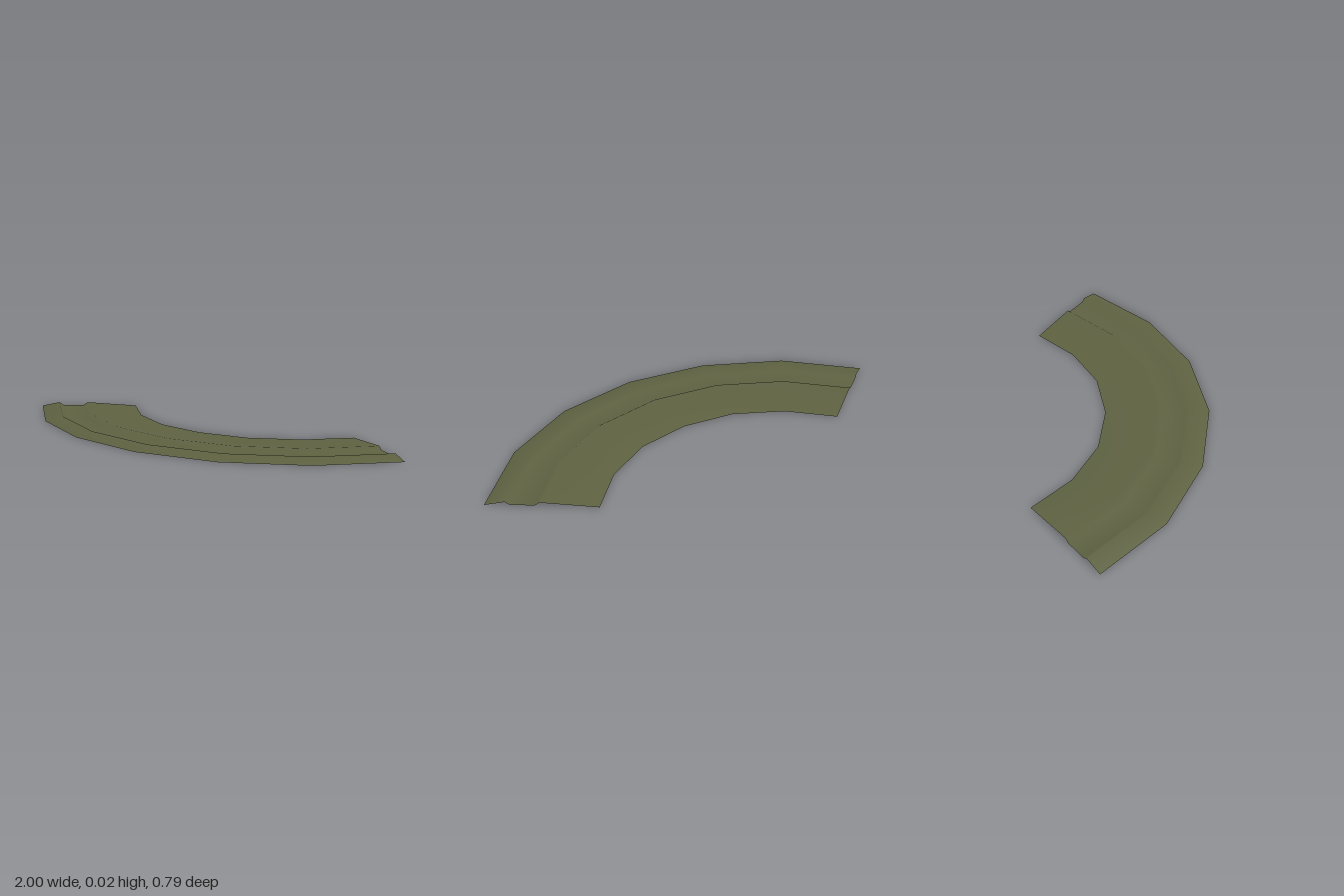
import * as THREE from 'three';

// Outer and inner edges of the bend as [x, z], from right end to left end
const OUTER = [[-1, -0.13], [-0.735, 0.145], [-0.39, 0.325], [-0.01, 0.393], [0.375, 0.34], [0.72, 0.17], [1, -0.1]];
const INNER = [[-0.615, -0.4], [-0.45, -0.23], [-0.24, -0.115], [0, -0.075], [0.24, -0.107], [0.455, -0.215], [0.625, -0.378]];

// Cross-section as [fraction from outer to inner edge, height]:
// bank, ridge, sunken bed, ridge, long inner bank
const PROFILE = [[0, 0], [0.18, 0.017], [0.225, 0.003], [0.44, 0.003], [0.485, 0.017], [1, 0]];

export function createModel() {
  const olive = new THREE.MeshStandardMaterial({ color: 0x5f6342, side: THREE.DoubleSide });
  olive.name = 'olive';

  // Sweep the cross-section along the bend
  const positions = [];
  const indices = [];
  const n = PROFILE.length;
  OUTER.forEach(([ox, oz], i) => {
    const [ix, iz] = INNER[i];
    PROFILE.forEach(([t, y], j) => {
      positions.push(ox + (ix - ox) * t, y, oz + (iz - oz) * t);
      if (i < OUTER.length - 1 && j < n - 1) {
        const a = i * n + j;
        const b = a + n;
        indices.push(a, b, a + 1, b, b + 1, a + 1);
      }
    });
  });
  const geometry = new THREE.BufferGeometry();
  geometry.setAttribute('position', new THREE.Float32BufferAttribute(positions, 3));
  geometry.setIndex(indices);
  geometry.computeVertexNormals();

  const track = new THREE.Mesh(geometry, olive);
  track.name = 'curvedTrack';
  const group = new THREE.Group();
  group.name = 'curvedTrackSection';
  group.add(track);
  return group;
}
